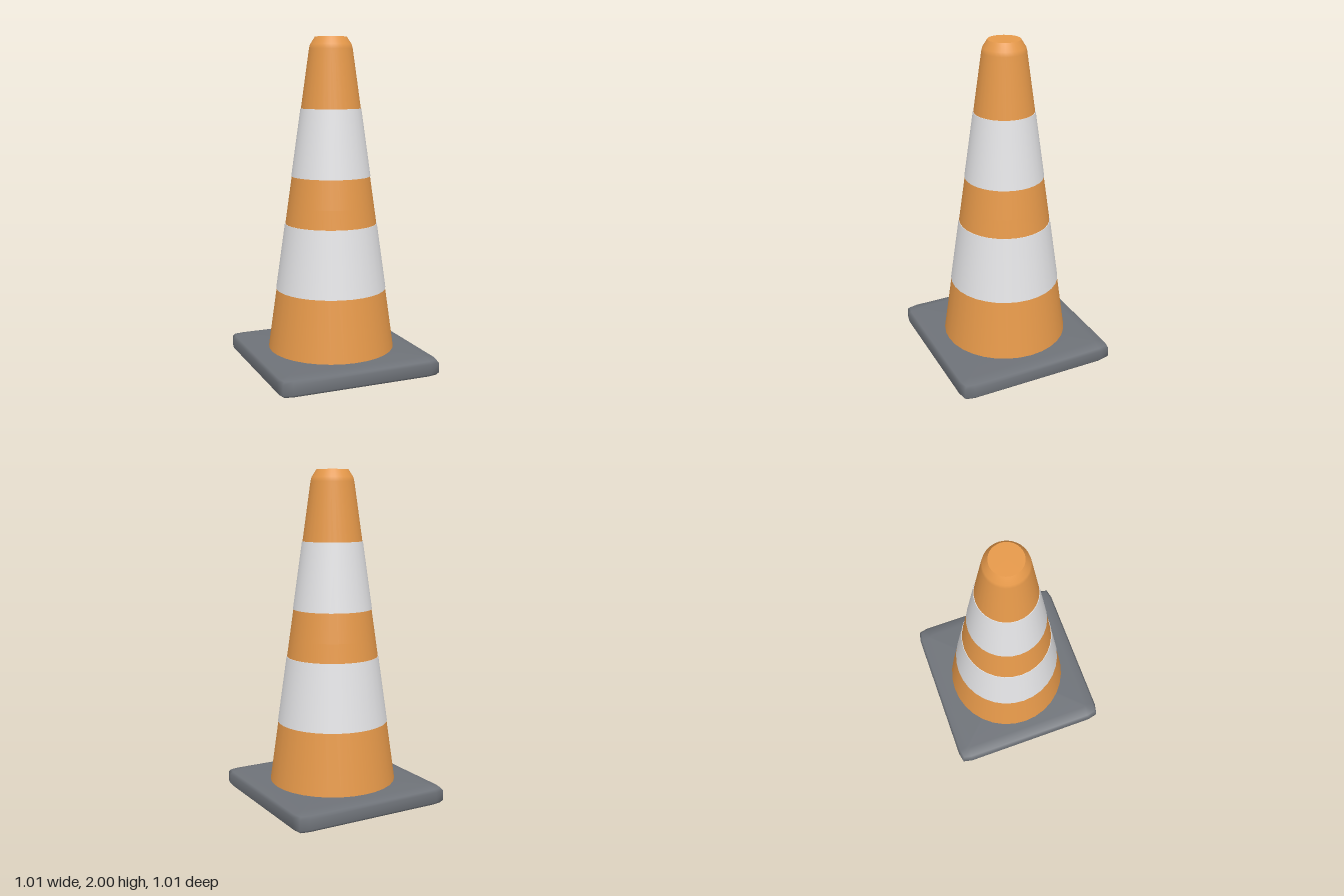
import * as THREE from 'three';

const SEGMENTS = 32;

// Cone radius at a given height
const radiusAt = (y) => 0.385 - (y - 0.12) * 0.141;

// Square slab with softened corners and rims, lofted from stacked rings
function slabGeometry() {
  // [height, half width, half width at corner point, start of corner]
  const levels = [
    [0.0, 0.43, 0.425, 0.415],
    [0.014, 0.489, 0.478, 0.425],
    [0.03, 0.503, 0.49, 0.43],
    [0.09, 0.503, 0.49, 0.43],
    [0.106, 0.489, 0.478, 0.425],
    [0.12, 0.43, 0.425, 0.415],
  ];
  const positions = [];
  const index = [];
  const n = 12;
  for (const [y, half, corner, start] of levels) {
    for (let q = 0; q < 4; q++) {
      const c = Math.round(Math.cos(q * Math.PI / 2));
      const s = Math.round(Math.sin(q * Math.PI / 2));
      for (const [x, z] of [[half, start], [corner, corner], [start, half]]) {
        positions.push(x * c - z * s, y, x * s + z * c);
      }
    }
  }
  for (let l = 0; l < levels.length - 1; l++) {
    for (let i = 0; i < n; i++) {
      const a = l * n + i, b = l * n + (i + 1) % n;
      index.push(a, a + n, b, b, a + n, b + n);
    }
  }
  // Bottom and top faces
  const top = (levels.length - 1) * n;
  const bottomCentre = positions.length / 3;
  positions.push(0, 0, 0, 0, 0.12, 0);
  for (let i = 0; i < n; i++) {
    const j = (i + 1) % n;
    index.push(bottomCentre, i, j, bottomCentre + 1, top + j, top + i);
  }
  const geometry = new THREE.BufferGeometry();
  geometry.setAttribute('position', new THREE.Float32BufferAttribute(positions, 3));
  geometry.setIndex(index);
  geometry.computeVertexNormals();
  return geometry;
}

export function createModel() {
  const orange = new THREE.MeshStandardMaterial({ color: 0xe6994a });
  orange.name = 'orange';
  const white = new THREE.MeshStandardMaterial({ color: 0xe4e4e6 });
  white.name = 'white';
  const grey = new THREE.MeshStandardMaterial({ color: 0x6e7278 });
  grey.name = 'dark grey';

  const group = new THREE.Group();
  group.name = 'trafficCone';
  const add = (name, geometry, material, y = 0) => {
    const mesh = new THREE.Mesh(geometry, material);
    mesh.name = name;
    mesh.position.y = y;
    group.add(mesh);
    return mesh;
  };

  add('base', slabGeometry(), grey);

  // Tapered body with a chamfered tip
  const profile = [[radiusAt(0.115), 0.115], [radiusAt(1.0), 1.0], [radiusAt(1.93), 1.93], [0.124, 1.955], [0.095, 2.0]]
    .map(([r, y]) => new THREE.Vector2(r, y));
  add('coneBody', new THREE.LatheGeometry(profile, SEGMENTS), orange);
  add('coneTip', new THREE.CircleGeometry(0.095, SEGMENTS), orange, 2).rotation.x = -Math.PI / 2;

  // Slightly raised sleeves
  for (const [name, low, high] of [['lowerBand', 0.487, 0.887], ['upperBand', 1.175, 1.58]]) {
    const sleeve = new THREE.CylinderGeometry(radiusAt(high) + 0.003, radiusAt(low) + 0.003, high - low, SEGMENTS);
    add(name, sleeve, white, (low + high) / 2);
  }
  return group;
}
